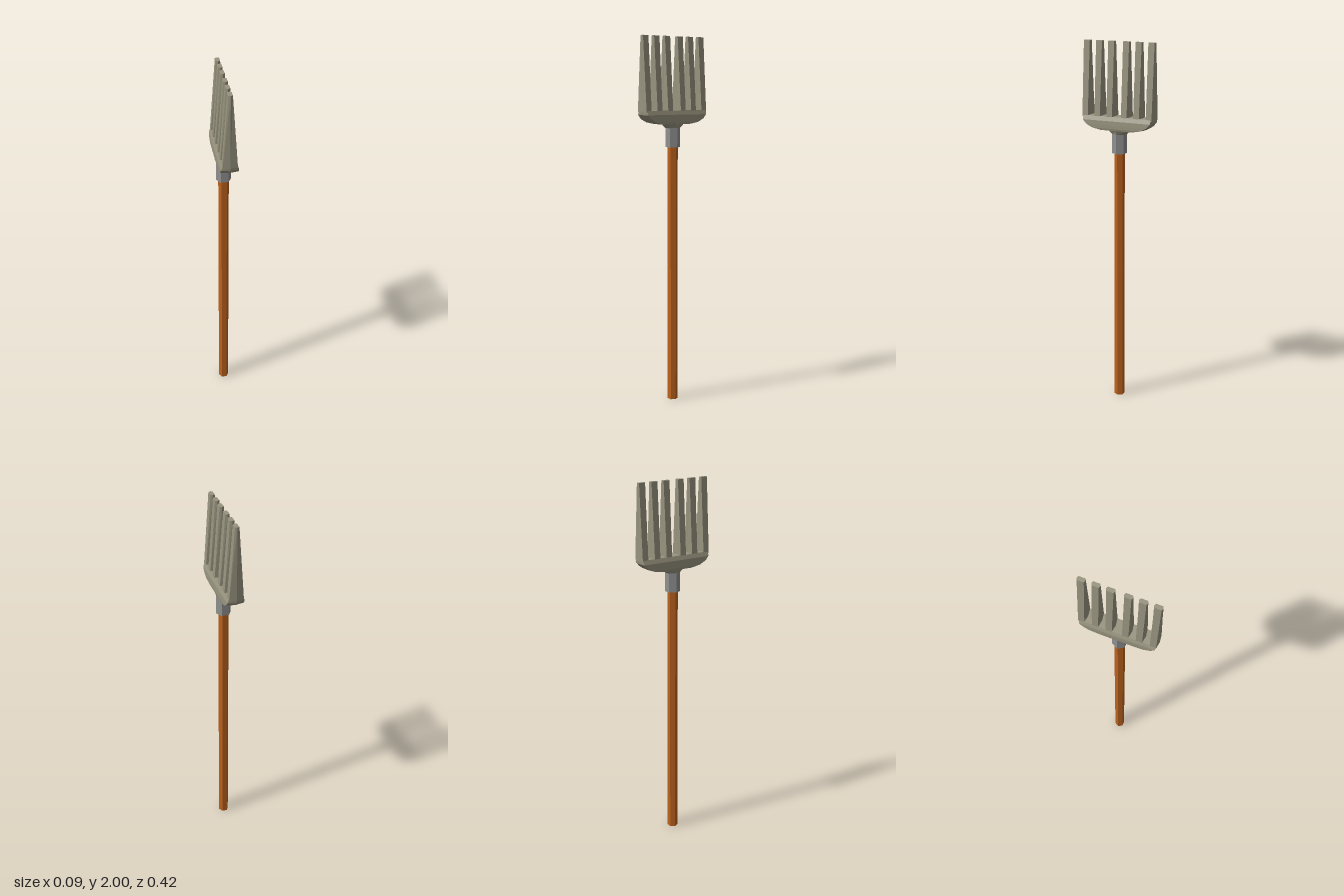
import * as THREE from 'three';

const material = (name, color) => {
  const m = new THREE.MeshStandardMaterial({ color, flatShading: true });
  m.name = name;
  return m;
};

// Solid through horizontal rings {y, points: [x, z][]}, points running from +x towards +z.
function loft(rings) {
  const pos = [];
  const n = rings[0].points.length;
  const put = (ring, i) => pos.push(ring.points[i % n][0], ring.y, ring.points[i % n][1]);
  for (let r = 0; r < rings.length - 1; r++) {
    const low = rings[r], high = rings[r + 1];
    for (let i = 0; i < n; i++) {
      put(low, i); put(high, i); put(low, i + 1);
      put(low, i + 1); put(high, i); put(high, i + 1);
    }
  }
  const bottom = rings[0], top = rings[rings.length - 1];
  for (let i = 1; i < n - 1; i++) {
    put(bottom, 0); put(bottom, i); put(bottom, i + 1);
    put(top, 0); put(top, i + 1); put(top, i);
  }
  const geometry = new THREE.BufferGeometry();
  geometry.setAttribute('position', new THREE.Float32BufferAttribute(pos, 3));
  geometry.computeVertexNormals();
  return geometry;
}

// Six-sided section with ridges on the z ends.
const ridged = (y, hx, hz, bevel) => ({
  y,
  points: [[hx, hz - bevel], [0, hz], [-hx, hz - bevel], [-hx, bevel - hz], [0, -hz], [hx, bevel - hz]],
});

// Six-sided section with corners on the x ends.
const hexagon = (y, rx, hz) => ({
  y,
  points: [[rx, 0], [rx / 2, hz], [-rx / 2, hz], [-rx, 0], [-rx / 2, -hz], [rx / 2, -hz]],
});

export function createModel() {
  const wood = material('wood', 0xb9611c);
  const steel = material('steel', 0x98947f);
  const socketSteel = material('socketSteel', 0x8e908e);

  const model = new THREE.Group();
  model.name = 'fork';
  const add = (name, geometry, mat, parent = model) => {
    const mesh = new THREE.Mesh(geometry, mat);
    mesh.name = name;
    parent.add(mesh);
    return mesh;
  };

  // Hexagonal shaft and the socket that holds it
  add('handle', loft([hexagon(0, 0.028, 0.0243), hexagon(1.43, 0.028, 0.0243)]), wood);
  add('socket', loft([hexagon(1.41, 0.04, 0.0346), hexagon(1.515, 0.04, 0.0346)]), socketSteel);

  // Flared neck and rounded base plate
  const head = new THREE.Group();
  head.name = 'head';
  model.add(head);
  add('neck', loft([hexagon(1.512, 0.037, 0.034), hexagon(1.537, 0.047, 0.06)]), steel, head);
  add('basePlate', loft([
    ridged(1.535, 0.045, 0.1, 0.01),
    ridged(1.545, 0.047, 0.152, 0.01),
    ridged(1.563, 0.047, 0.188, 0.01),
    ridged(1.585, 0.046, 0.207, 0.01),
    ridged(1.608, 0.038, 0.21, 0.01),
  ]), steel, head);

  // Six tapered tines, three on each side
  const tine = loft([ridged(1.6, 0.039, 0.0225, 0.006), ridged(2, 0.011, 0.0225, 0.005)]);
  for (const side of [1, -1]) {
    for (const z of [0.043, 0.1145, 0.187]) {
      add('tine', tine, steel, head).position.z = side * z;
    }
  }
  return model;
}
